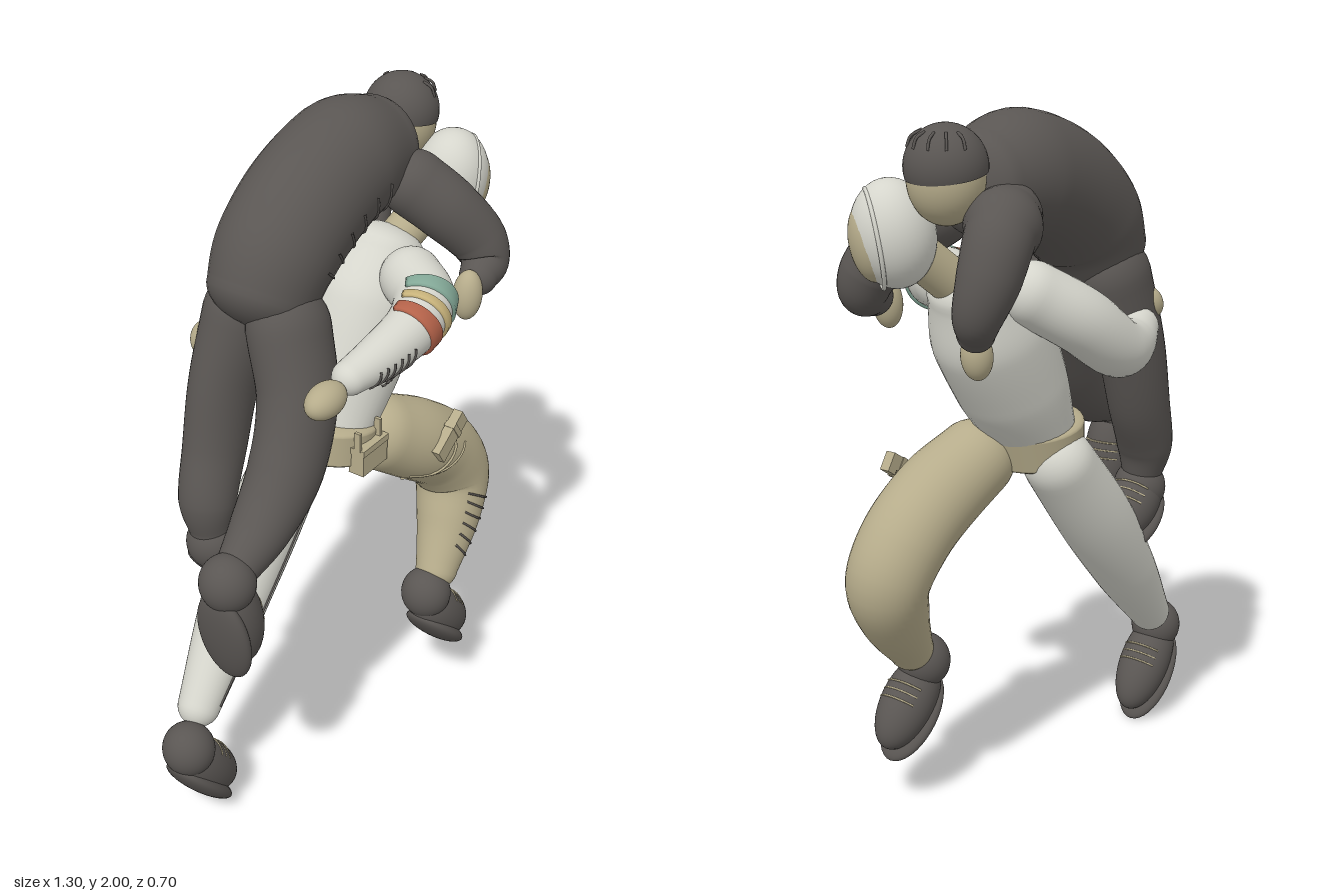
import * as THREE from 'three';

const mat = (name, color) => Object.assign(new THREE.MeshStandardMaterial({ color }), { name });
const M = {
  dark: mat('charcoal cloth', 0x5a5653),
  white: mat('off white cloth', 0xd5d5cc),
  khaki: mat('khaki', 0xb6ac8b),
  red: mat('rust red', 0xb5634a),
  yellow: mat('straw yellow', 0xc9b47c),
  green: mat('sage green', 0x83a897),
};
const V = (p) => new THREE.Vector3(...p);
const Z = new THREE.Vector3(0, 0, 1);

export function createModel() {
  const model = new THREE.Group();
  const add = (name, geo, m, parent = model) => {
    const mesh = new THREE.Mesh(geo, m);
    mesh.name = name;
    parent.add(mesh);
    return mesh;
  };

  // Surface of a tapered body: sections are [x, y, z, radius, radiusAlongZ]
  const body = (secs) => {
    const path = new THREE.CatmullRomCurve3(secs.map((s) => V(s.slice(0, 3))));
    const radii = new THREE.CatmullRomCurve3(secs.map((s) => V([s[3], s[4] ?? s[3], 0])));
    return (t, a, grow = 0, scale = 1, shift = 0) => {
      t = Math.min(1, Math.max(0, t));
      const T = path.getTangent(t), r = radii.getPoint(t);
      const side = Z.clone().addScaledVector(T, -T.z).normalize();
      const other = side.clone().cross(T);
      return path.getPoint(t).addScaledVector(T, shift * r.x)
        .addScaledVector(other, Math.cos(a) * (r.x * scale + grow))
        .addScaledVector(side, Math.sin(a) * (r.y * scale + grow));
    };
  };

  // Skin a list of rings; ring(i, angle) gives each point
  const skin = (count, ring, n = 36) => {
    const pos = [], idx = [];
    for (let i = 0; i < count; i++) {
      for (let j = 0; j < n; j++) pos.push(...ring(i, (j / n) * Math.PI * 2).toArray());
    }
    for (let i = 0; i < count - 1; i++) {
      for (let j = 0; j < n; j++) {
        const k = (j + 1) % n, a = i * n + j, b = i * n + k;
        idx.push(a, b, a + n, b, b + n, a + n);
      }
    }
    const g = new THREE.BufferGeometry();
    g.setAttribute('position', new THREE.Float32BufferAttribute(pos, 3));
    g.setIndex(idx);
    g.computeVertexNormals();
    return g;
  };

  // Round-ended limb; returns its surface for placing details
  const limb = (name, m, secs, cap = 1) => {
    const s = body(secs), C = 8, L = 32;
    add(name, skin(L + 2 * C + 1, (i, a) => {
      const e = i < C ? i / C - 1 : i > C + L ? (i - C - L) / C : 0;
      const q = e * Math.PI / 2;
      return s((i - C) / L, a, 0, Math.max(0.002, Math.cos(q)), Math.sin(q) * cap);
    }), m);
    return s;
  };

  // Armband wrapped over the outer side of a sleeve
  const band = (name, m, s, t0, t1, tilt) => add(name, skin(4, (i, a) => {
    const b = -0.45 + a * 0.64;
    return s(t0 + (t1 - t0) * [0, 0.06, 0.94, 1][i] + tilt * Math.cos(b), b, i % 3 ? 0.009 : -0.002);
  }), m);

  const ball = (name, m, c, r, rotZ = 0, parent = model) => {
    const b = add(name, new THREE.SphereGeometry(1, 36, 24), m, parent);
    b.position.set(...c);
    b.scale.set(...r);
    b.rotation.z = rotZ;
    return b;
  };

  const cord = (name, m, pts, r, parent = model) =>
    add(name, new THREE.TubeGeometry(new THREE.CatmullRomCurve3(pts), 16, r, 6), m, parent);

  // Curved crease running over a limb surface, angles in degrees
  const crease = (name, m, s, t0, t1, a0, a1, r = 0.0035) => {
    const pts = [];
    for (let i = 0; i <= 8; i++) {
      const f = i / 8;
      pts.push(s(t0 + (t1 - t0) * f * f, (a0 + (a1 - a0) * f) * Math.PI / 180, 0.001));
    }
    cord(name, m, pts, r);
  };

  // Boot: local +x is the toe, -y the sole
  const boot = (name, ankle, c, deg, half) => {
    const g = new THREE.Group();
    g.name = name;
    g.position.set(...c);
    g.rotation.z = deg * Math.PI / 180;
    model.add(g);
    ball('bootUpper', M.dark, [-0.01, 0.01, 0], [half, 0.08, 0.078], 0, g);
    ball('bootSole', M.dark, [0.015, -0.038, 0], [half - 0.005, 0.034, 0.085], 0, g);
    ball('bootAnkle', M.dark, ankle, [0.076, 0.082, 0.078]);
    for (let i = 0; i < 3; i++) {
      const pts = [-1, -0.5, 0, 0.5, 1].map((f) =>
        V([-0.04 + i * 0.025, 0.01 + 0.079 * Math.cos(f * 0.9), 0.077 * Math.sin(f * 0.9)]));
      cord('bootLace', M.khaki, pts, 0.003, g);
    }
  };

  // --- Runner: torso, hips and legs ---
  const chest = limb('runnerTorso', M.white, [
    [0.08, 1.1, -0.01, 0.115, 0.14], [0.16, 1.24, -0.01, 0.152, 0.16],
    [0.25, 1.4, -0.01, 0.165, 0.165], [0.33, 1.54, -0.01, 0.115, 0.13]], 0.6);
  for (let i = 0; i < 4; i++) {
    crease('torsoCrease', M.dark, chest, 0.28 + i * 0.025, 0.62 + i * 0.01, 75 + i * 4, 102 + i * 8);
  }
  limb('belt', M.khaki, [[0.055, 1.015, -0.01, 0.128, 0.148], [0.07, 1.105, -0.01, 0.142, 0.155]], 0.2);
  const box = (name, m, size, c, rotZ = 0) => {
    const b = add(name, new THREE.BoxGeometry(...size), m);
    b.position.set(...c);
    b.rotation.z = rotZ;
  };
  box('beltPouch', M.khaki, [0.12, 0.08, 0.05], [0.06, 1.04, 0.14]);
  box('pouchFlap', M.khaki, [0.125, 0.02, 0.054], [0.06, 1.075, 0.14]);
  for (const x of [0.0, 0.1]) box('beltLoop', M.khaki, [0.01, 0.06, 0.02], [x, 1.11, 0.145]);

  const thigh = limb('runnerFrontLeg', M.khaki, [
    [0.21, 1.015, 0.085, 0.115], [0.34, 0.935, 0.12, 0.125], [0.46, 0.84, 0.135, 0.124],
    [0.515, 0.735, 0.15, 0.118], [0.465, 0.61, 0.175, 0.1], [0.37, 0.47, 0.2, 0.066]]);
  for (let i = 0; i < 6; i++) crease('shinCrease', M.dark, thigh, 0.71 + i * 0.045, 0.68 + i * 0.045, 50, 125);
  box('thighPouch', M.khaki, [0.15, 0.055, 0.03], [0.34, 0.99, 0.238], 0.6);
  box('thighPouchStrap', M.khaki, [0.018, 0.06, 0.034], [0.36, 1.003, 0.238], 0.6);
  cord('thighStrap', M.khaki, [0.22, 0.24, 0.22, 0.14].map((t, i) =>
    thigh(t, [40, 85, 120, 165][i] * Math.PI / 180, 0.003)), 0.004);
  crease('thighStrapRear', M.khaki, thigh, 0.3, 0.14, 70, 150);

  const backLeg = limb('runnerBackLeg', M.white, [
    [0.06, 1.0, -0.1, 0.1, 0.105], [-0.1, 0.8, -0.11, 0.11], [-0.28, 0.575, -0.105, 0.095],
    [-0.47, 0.36, -0.08, 0.063]]);
  crease('trouserSeam', M.dark, backLeg, 0.05, 0.98, 85, 85);
  boot('runnerFrontBoot', [0.312, 0.41, 0.2], [0.375, 0.285, 0.21], -45, 0.15);
  boot('runnerBackBoot', [-0.56, 0.275, -0.05], [-0.5, 0.152, -0.05], -50, 0.165);

  // --- Runner: arms and helmeted head ---
  const sleeve = limb('runnerFrontArm', M.white, [
    [-0.19, 1.448, 0.245, 0.047, 0.05], [-0.06, 1.465, 0.262, 0.065], [0.08, 1.49, 0.265, 0.076],
    [0.18, 1.512, 0.23, 0.086], [0.24, 1.525, 0.15, 0.088]]);
  band('redBand', M.red, sleeve, 0.43, 0.5, -0.015);
  band('yellowBand', M.yellow, sleeve, 0.55, 0.6, -0.015);
  band('greenBand', M.green, sleeve, 0.65, 0.74, -0.015);
  for (let i = 0; i < 6; i++) crease('sleeveCrease', M.dark, sleeve, 0.11 + i * 0.045, 0.07 + i * 0.045, 80, 145);
  ball('runnerFrontHand', M.khaki, [-0.295, 1.43, 0.243], [0.07, 0.047, 0.047], 0.05);

  limb('runnerBackArm', M.white, [
    [0.27, 1.53, -0.16, 0.088], [0.16, 1.45, -0.235, 0.09], [0.02, 1.35, -0.265, 0.083],
    [-0.07, 1.345, -0.25, 0.07], [-0.14, 1.37, -0.23, 0.056]]);
  ball('runnerBackHand', M.khaki, [-0.215, 1.425, -0.215], [0.035, 0.05, 0.042], -0.4);

  limb('runnerNeck', M.khaki, [[0.38, 1.56, 0.02, 0.06], [0.48, 1.65, 0.06, 0.06]]);
  const head = new THREE.Group();
  head.name = 'runnerHead';
  head.position.set(0.533, 1.702, 0.082);
  head.rotation.set(0.15, 0.84, 0, 'YXZ');
  model.add(head);
  ball('helmet', M.white, [0, 0, 0], [0.112, 0.142, 0.11], 0, head);
  ball('face', M.khaki, [0, -0.01, 0.06], [0.08, 0.105, 0.056], 0, head);
  const rim = add('helmetRim', new THREE.TorusGeometry(0.1, 0.006, 8, 48), M.white, head);
  rim.position.set(0, -0.005, 0.05);
  rim.scale.y = 1.27;

  // --- Carried person: torso and legs ---
  const back = limb('carriedTorso', M.dark, [
    [-0.148, 1.575, -0.07, 0.155, 0.15], [-0.085, 1.67, -0.07, 0.17, 0.166],
    [0.05, 1.765, -0.07, 0.178, 0.17], [0.215, 1.82, -0.07, 0.177, 0.168],
    [0.37, 1.82, -0.07, 0.14, 0.14]], 0.6);
  for (let i = 0; i < 6; i++) crease('carriedCrease', M.dark, back, 0.24 + i * 0.1, 0.28 + i * 0.1, 95, 135);

  limb('carriedFrontLeg', M.dark, [
    [-0.15, 1.5, 0.02, 0.125, 0.11], [-0.195, 1.33, 0.08, 0.12, 0.105], [-0.29, 1.165, 0.11, 0.112, 0.1],
    [-0.42, 1.05, 0.12, 0.084], [-0.54, 0.99, 0.13, 0.058]]);
  limb('carriedBackLeg', M.dark, [
    [-0.14, 1.5, -0.14, 0.12, 0.105], [-0.2, 1.3, -0.165, 0.112, 0.09], [-0.25, 1.12, -0.165, 0.1, 0.085],
    [-0.31, 0.97, -0.15, 0.082], [-0.315, 0.88, -0.14, 0.06]]);
  boot('carriedFrontBoot', [-0.575, 0.97, 0.13], [-0.56, 0.825, 0.13], -80, 0.16);
  boot('carriedBackBoot', [-0.31, 0.835, -0.135], [-0.275, 0.78, -0.135], -45, 0.125);

  // --- Carried person: arms and head ---
  limb('carriedFrontArm', M.dark, [
    [0.365, 1.74, 0.07, 0.095], [0.405, 1.675, 0.15, 0.092], [0.46, 1.575, 0.23, 0.08],
    [0.455, 1.52, 0.255, 0.07], [0.41, 1.495, 0.265, 0.055]]);
  ball('carriedFrontHand', M.khaki, [0.345, 1.465, 0.27], [0.042, 0.073, 0.042], -0.1);
  limb('carriedBackArm', M.dark, [
    [0.39, 1.75, -0.17, 0.09], [0.48, 1.72, -0.215, 0.09], [0.535, 1.62, -0.22, 0.082],
    [0.555, 1.53, -0.2, 0.065], [0.53, 1.48, -0.175, 0.05]]);
  ball('carriedBackHand', M.khaki, [0.495, 1.41, -0.15], [0.042, 0.065, 0.042], -0.1);

  ball('carriedHead', M.khaki, [0.5, 1.85, -0.065], [0.1, 0.118, 0.1]);
  const hair = add('carriedHair', new THREE.SphereGeometry(0.107, 36, 16, 0, Math.PI * 2, 0, Math.PI * 0.56), M.dark);
  hair.position.set(0.5, 1.88, -0.065);
  hair.rotation.z = -0.15;
  for (let i = 0; i < 6; i++) {
    const a = -1.2 + i * 0.5;
    const pts = [0.6, 0.85, 1.1].map((p, k) => {
      const r = 0.107 + (k === 1 ? 0.006 : 0);
      return V([0.5 + r * Math.sin(p) * Math.cos(a), 1.88 + r * Math.cos(p), -0.065 + r * Math.sin(p) * Math.sin(a)]);
    });
    cord('hairTuft', M.dark, pts, 0.004);
  }

  return model;
}
